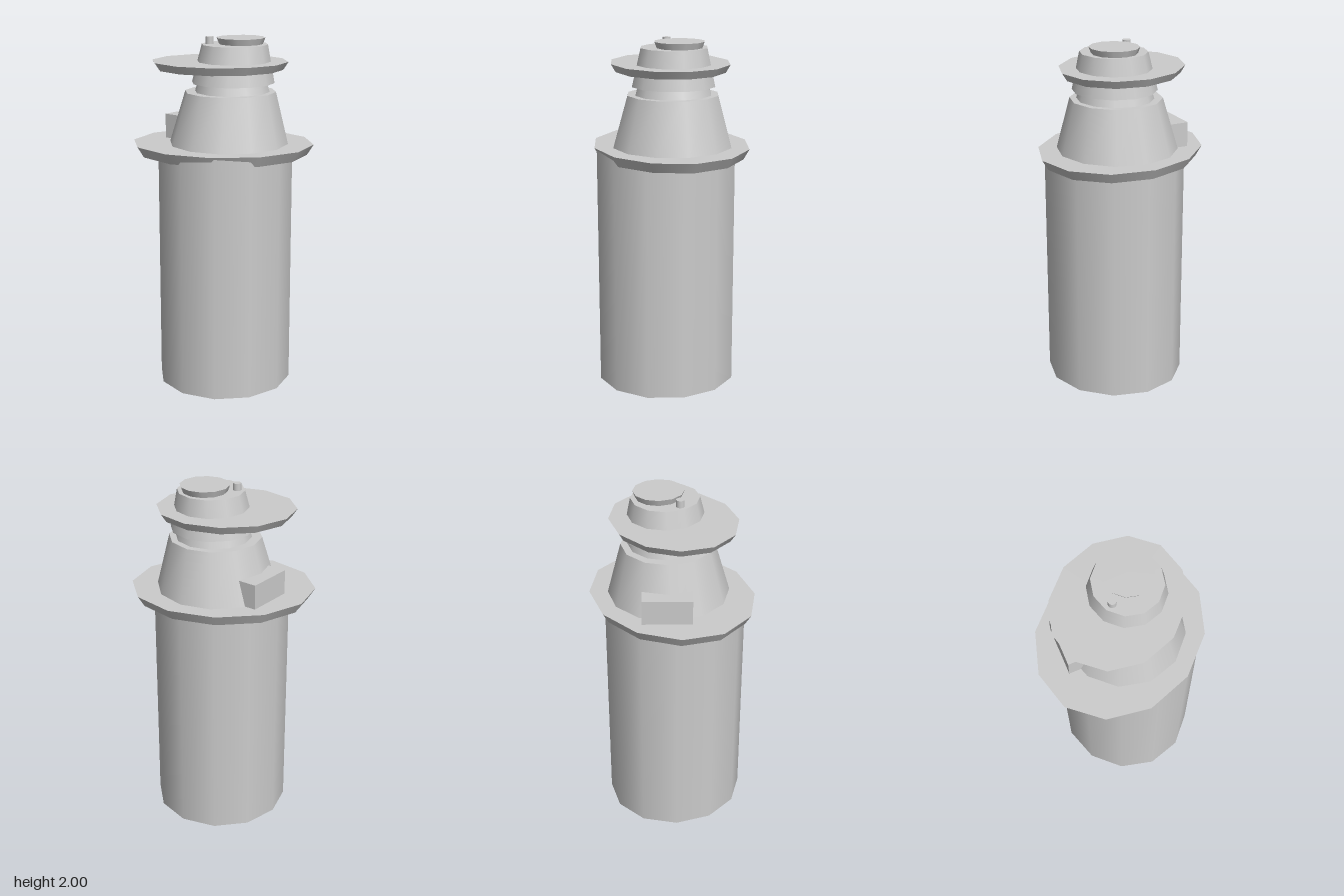
import * as THREE from 'three';

const material = new THREE.MeshStandardMaterial({ color: 0xcccccc });

// Twelve-sided elliptical frustum; each end is { y, x, rx } with one shared z centre and z stretch
function frustum(name, bottom, top, stretch = 1, z = 0, sides = 12) {
  const height = top.y - bottom.y;
  const geometry = new THREE.CylinderGeometry(top.rx, bottom.rx, height, sides);
  geometry.applyMatrix4(new THREE.Matrix4().makeScale(1, 1, stretch));
  // Lean the axis so both ends meet their own centres
  const lean = (top.x - bottom.x) / height;
  geometry.applyMatrix4(new THREE.Matrix4().makeShear(0, 0, lean, 0, 0, 0));
  geometry.computeBoundingBox();
  const mesh = new THREE.Mesh(geometry, material);
  // Undo the lean if the shear was applied along another axis
  mesh.name = name;
  mesh.position.set((bottom.x + top.x) / 2, (bottom.y + top.y) / 2, z);
  return mesh;
}

export function createModel() {
  const model = new THREE.Group();
  model.name = 'tower';

  // Main drum and the wide flared ledge on top of it
  model.add(frustum('body', { y: 0, x: 0.015, rx: 0.386 }, { y: 1.39, x: 0.015, rx: 0.386 }, 1.045, 0.032));
  model.add(frustum('lowerLedge', { y: 1.34, x: 0, rx: 0.482 }, { y: 1.4, x: 0, rx: 0.52 }, 0.856));

  // Tapered shoulder, recessed neck and upper cone
  model.add(frustum('shoulder', { y: 1.39, x: 0.033, rx: 0.343 }, { y: 1.695, x: 0.043, rx: 0.259 }, 1.01));
  model.add(frustum('neck', { y: 1.68, x: 0.053, rx: 0.217 }, { y: 1.76, x: 0.053, rx: 0.193 }, 1.03));
  model.add(frustum('upperCone', { y: 1.745, x: 0.058, rx: 0.235 }, { y: 1.96, x: 0.067, rx: 0.187 }, 1.02));

  // Flared upper ledge
  model.add(frustum('upperLedge', { y: 1.82, x: -0.018, rx: 0.358 }, { y: 1.865, x: -0.018, rx: 0.388 }, 0.877));

  // Cap and the small pin beside it
  model.add(frustum('cap', { y: 1.955, x: 0.098, rx: 0.123 }, { y: 1.995, x: 0.098, rx: 0.138 }, 1.035, -0.023));
  model.add(frustum('pin', { y: 1.95, x: -0.075, rx: 0.023 }, { y: 2, x: -0.075, rx: 0.023 }, 1, 0.005, 16));

  // Block set against the back of the shoulder
  const block = new THREE.Mesh(new THREE.BoxGeometry(0.275, 0.15, 0.15), material);
  block.name = 'shoulderBlock';
  block.position.set(-0.214, 1.465, -0.166);
  block.rotation.y = 1.007;
  model.add(block);

  return model;
}
